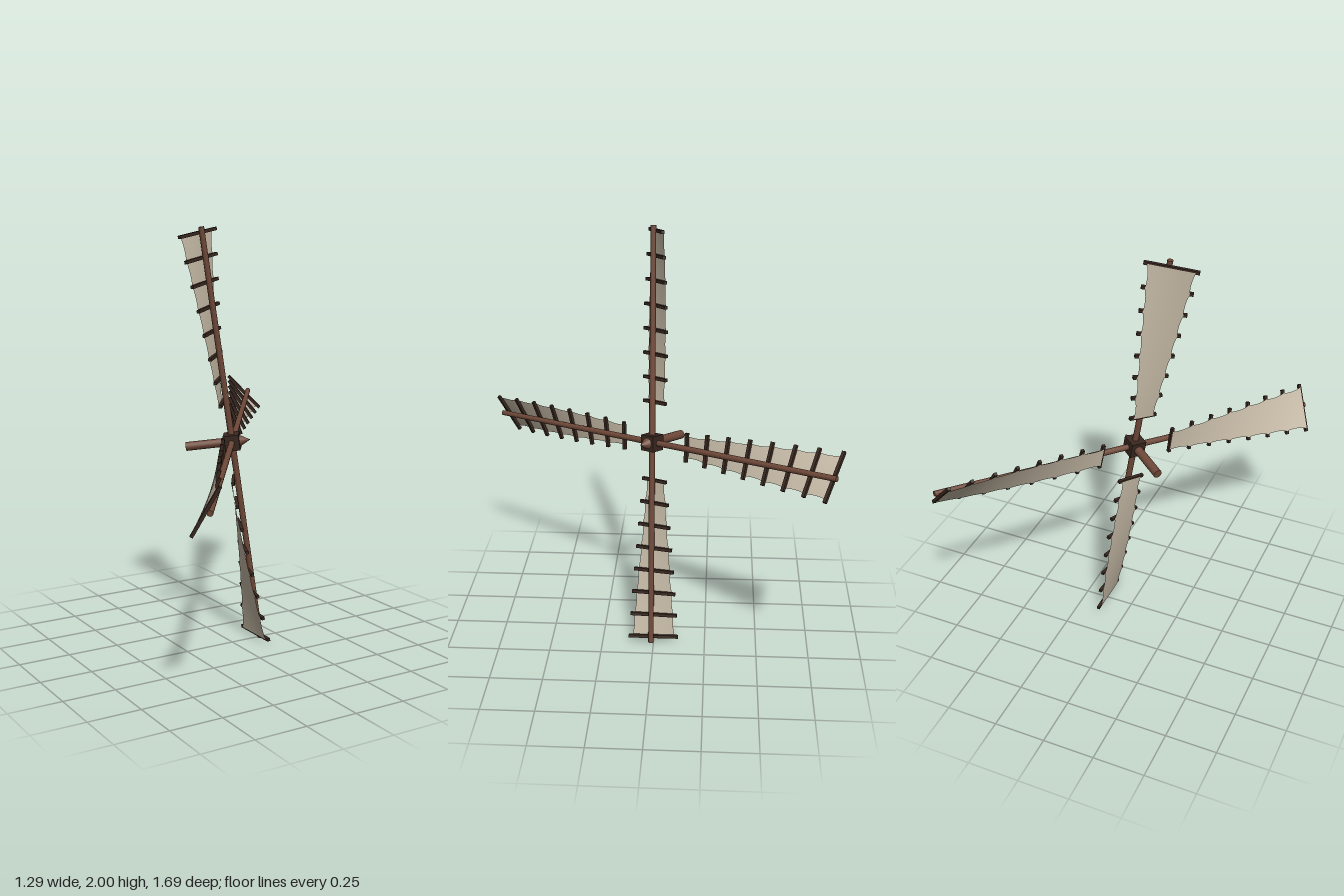
import * as THREE from 'three';

const wood = new THREE.MeshStandardMaterial({ color: 0x6e4838 });
wood.name = 'brown wood';
const darkWood = new THREE.MeshStandardMaterial({ color: 0x38271f });
darkWood.name = 'dark wood';
const canvas = new THREE.MeshStandardMaterial({ color: 0xc8bca8, side: THREE.DoubleSide });
canvas.name = 'sail canvas';

const BARS = 8, R_IN = 0.19, R_OUT = 0.985, ARM = 1.01;

// radius, twist and bar length at fraction f along a sail
const radiusAt = f => THREE.MathUtils.lerp(R_IN, R_OUT, f);
const twistAt = f => THREE.MathUtils.degToRad(THREE.MathUtils.lerp(3, 36.5, f));
const lengthAt = f => THREE.MathUtils.lerp(0.138, 0.243, f);

function mesh(name, geometry, material) {
  const m = new THREE.Mesh(geometry, material);
  m.name = name;
  return m;
}

// twisted cloth with edges drawn in slightly between the bars
function sailGeometry() {
  const cols = 4, rows = (BARS - 1) * 6;
  const g = new THREE.PlaneGeometry(1, 1, cols, rows);
  const p = g.attributes.position;
  for (let i = 0; i < p.count; i++) {
    const f = p.getY(i) + 0.5, a = twistAt(f);
    const scallop = 0.006 * Math.abs(Math.sin(Math.PI * (BARS - 1) * f));
    const u = p.getX(i) * (lengthAt(f) - 0.034 - 2 * scallop);
    const back = 0.009;
    p.setXYZ(i,
      u * Math.cos(a) + back * Math.sin(a),
      radiusAt(f),
      -0.02 + u * Math.sin(a) - back * Math.cos(a));
  }
  g.computeVertexNormals();
  return g;
}

function makeArm(sailGeo) {
  const arm = new THREE.Group();
  arm.name = 'sailArm';

  const spar = mesh('spar', new THREE.CylinderGeometry(0.013, 0.015, ARM, 12), wood);
  spar.position.y = ARM / 2;
  arm.add(spar);

  // crossbars behind the spar, twisting toward the tip
  for (let i = 0; i < BARS; i++) {
    const f = i / (BARS - 1);
    const bar = mesh('crossbar', new THREE.BoxGeometry(lengthAt(f), 0.015, 0.015), darkWood);
    bar.position.set(0, radiusAt(f), -0.02);
    bar.rotation.y = -twistAt(f);
    arm.add(bar);
  }

  arm.add(mesh('sail', sailGeo, canvas));
  return arm;
}

export function createModel() {
  const model = new THREE.Group();
  model.name = 'windmillSails';
  const rotor = new THREE.Group();
  rotor.name = 'rotor';
  model.add(rotor);

  // four arms around the hub
  const sailGeo = sailGeometry();
  for (let k = 0; k < 4; k++) {
    const arm = makeArm(sailGeo);
    arm.rotation.z = k * Math.PI / 2;
    rotor.add(arm);
  }

  // hub block, nose cone and drive shaft along the axis
  rotor.add(mesh('hub', new THREE.BoxGeometry(0.075, 0.075, 0.075), darkWood));
  const nose = mesh('noseCone', new THREE.ConeGeometry(0.027, 0.05, 16), wood);
  nose.rotation.x = Math.PI / 2;
  nose.position.z = 0.062;
  rotor.add(nose);
  const shaft = mesh('shaft', new THREE.CylinderGeometry(0.021, 0.021, 0.22, 16), wood);
  shaft.rotation.x = Math.PI / 2;
  shaft.position.z = -0.11;
  rotor.add(shaft);

  // turn the rotor to its tilted, yawed pose
  const axis = new THREE.Vector3(0.8, 0.13, 0.6).normalize();
  const up = new THREE.Vector3(-0.165, 0.987, 0);
  up.addScaledVector(axis, -up.dot(axis)).normalize();
  const side = new THREE.Vector3().crossVectors(up, axis);
  rotor.quaternion.setFromRotationMatrix(new THREE.Matrix4().makeBasis(side, up, axis));
  rotor.position.set(-0.01, 1, 0.015);
  return model;
}
